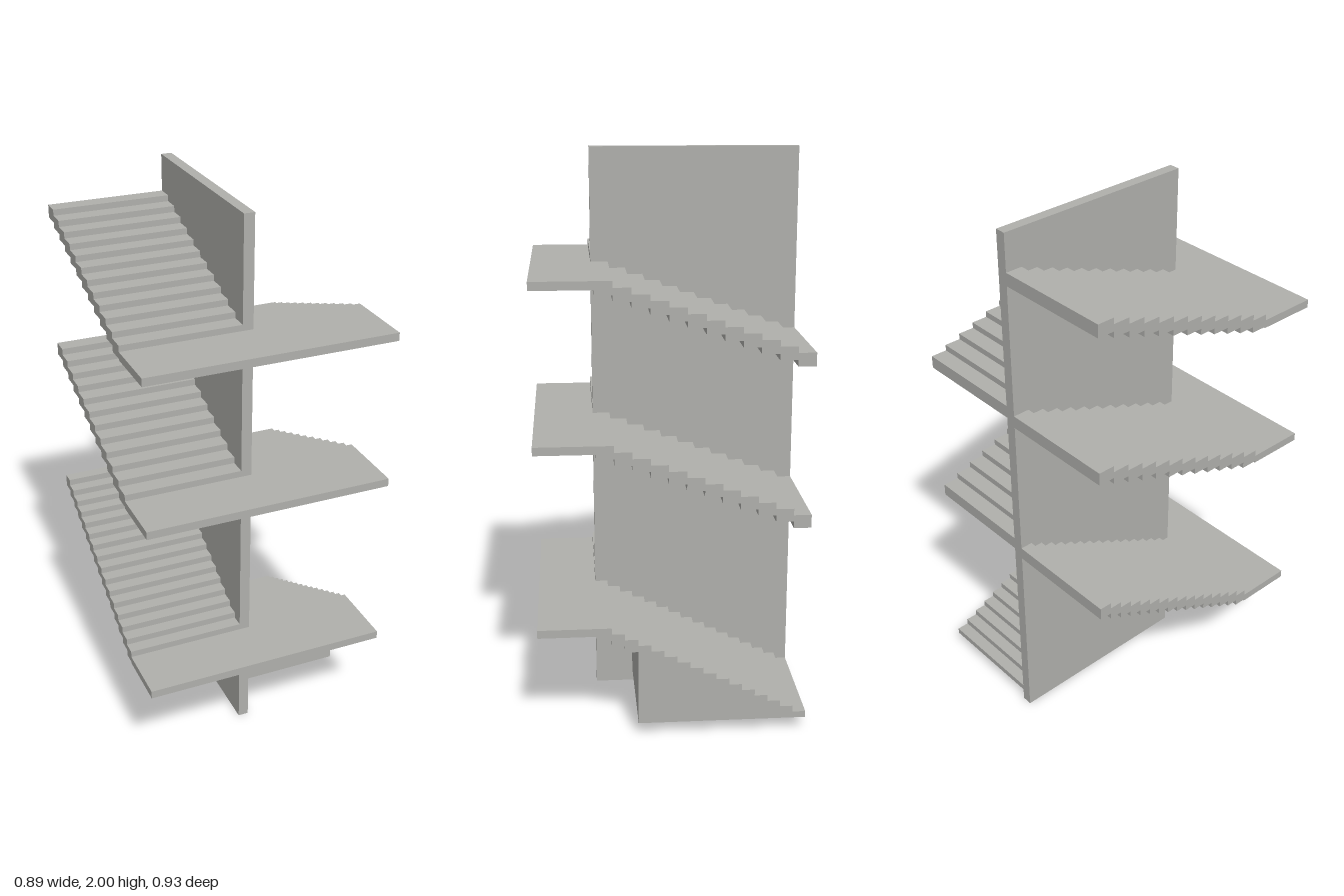
import * as THREE from 'three';

const FRONT = 0.258, BACK = -0.467, HALF = 0.443, WALL = 0.019, SLAB = 0.046;

// Stepped slab from the landing (front) to the back edge.
// tops: tread height at step i, counted from the front; solid: optional filled base { from, y }.
function flightGeometry(steps, tops, solid) {
  const run = (FRONT - BACK) / steps;
  const upper = [], lower = [];
  for (let i = 0; i < steps; i++) {
    const z0 = FRONT - i * run, z1 = z0 - run, y = tops(i);
    upper.push([z0, y], [z1, y]);
    if (!solid || i < solid.from) lower.push([z0, y - SLAB], [z1, y - SLAB]);
  }
  if (solid) lower.push([FRONT - solid.from * run, solid.y], [BACK, solid.y]);
  const outline = [...upper, ...lower.reverse()].map(p => new THREE.Vector2(...p));
  const geometry = new THREE.ExtrudeGeometry(new THREE.Shape(outline), {
    depth: HALF - WALL, bevelEnabled: false,
  });
  geometry.rotateY(-Math.PI / 2); // profile runs along z, width along -x
  return geometry;
}

export function createModel() {
  const model = new THREE.Group();
  const concrete = new THREE.MeshStandardMaterial({ color: 0xb0b0ac });
  concrete.name = 'concrete';

  function add(name, geometry, x, y, z) {
    const mesh = new THREE.Mesh(geometry, concrete);
    mesh.name = name;
    mesh.position.set(x, y, z);
    model.add(mesh);
  }

  // Central spine wall
  add('spineWall', new THREE.BoxGeometry(WALL * 2, 2, FRONT - BACK), 0, 1, (FRONT + BACK) / 2);

  // Each storey: flight up to the front landing, then flight up to the back
  const storeys = [
    { start: 0.047, landing: 0.411, end: 0.781, steps: 16 },
    { start: 0.781, landing: 1.062, end: 1.342, steps: 12 },
    { start: 1.342, landing: 1.607, end: 1.867, steps: 12 },
  ];
  storeys.forEach(({ start, landing, end, steps }, n) => {
    const riseIn = (landing - start) / steps, riseOut = (end - landing) / steps;
    const solid = n === 0 ? { from: 3, y: start } : null; // lowest flight has a filled base
    add('leftFlight' + (n + 1), flightGeometry(steps, i => landing - i * riseIn, solid), HALF, 0, 0);
    add('rightFlight' + (n + 1), flightGeometry(steps, i => landing + (i + 1) * riseOut), -WALL, 0, 0);
    add('landing' + (n + 1), new THREE.BoxGeometry(HALF * 2, 0.029, 0.467 - FRONT),
      0, landing - 0.0145, (0.467 + FRONT) / 2);
  });
  return model;
}
